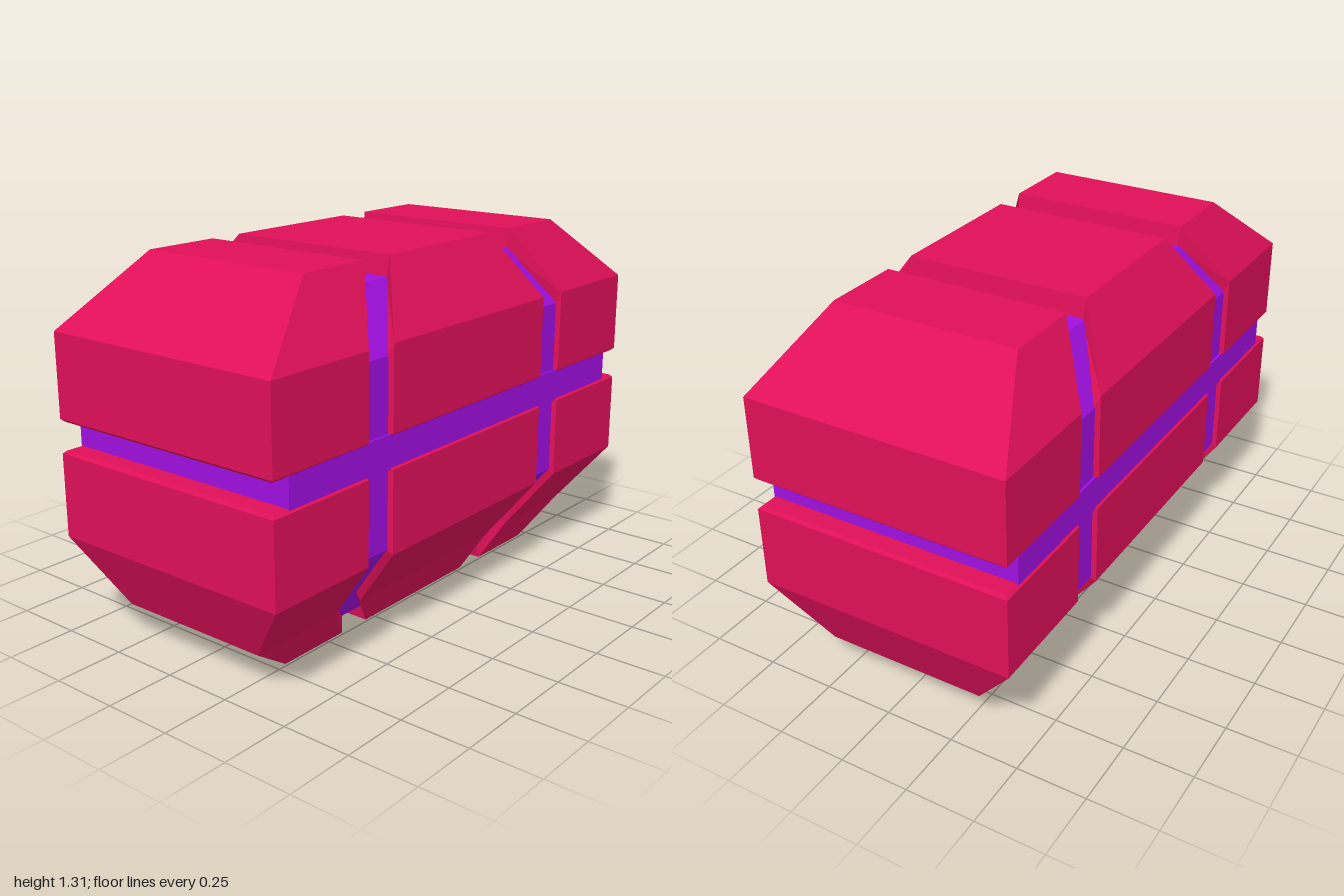
import * as THREE from 'three';

const red = new THREE.MeshStandardMaterial({ color: 0xe01058, flatShading: true });
const purple = new THREE.MeshStandardMaterial({ color: 0xa010e0, flatShading: true });

// Half profiles, bottom to top: [y, half depth, centre edge x, side inner x, side outer x]
const UPPER = [
  [0.765, 0.463, 0.44, 0.565, 0.99],
  [0.775, 0.475, 0.44, 0.565, 1],
  [1.07, 0.475, 0.44, 0.565, 1],
  [1.31, 0.335, 0.285, 0.415, 0.7],
];
const LOWER = [
  [0, 0.24, 0.29, 0.42, 0.71],
  [0.125, 0.295, 0.385, 0.515, 0.895],
  [0.36, 0.475, 0.44, 0.565, 1],
  [0.655, 0.475, 0.44, 0.565, 1],
  [0.665, 0.463, 0.44, 0.565, 0.99],
];
// Feet of the groove walls, just inside the core: [y, half depth]
const UPPER_INSET = [[0.765, 0.455], [0.775, 0.455], [1.03, 0.455], [1.235, 0.33]];
const LOWER_INSET = [[0.065, 0.23], [0.165, 0.28], [0.38, 0.455], [0.655, 0.455], [0.665, 0.455]];
const CORE = [[0.06, 0.235], [0.16, 0.285], [0.38, 0.46], [1.03, 0.46], [1.24, 0.335]];

// Half section of [x, y, half depth] points
const section = (rows, x) => rows.map((r, i) => [x(i), r[0], r[1]]);

// Joins sections running from -x to +x; each is mirrored front to back and both ends are capped
function loft(sections) {
  const pos = [];
  const quad = (a, b, c, d) => pos.push(...a, ...b, ...c, ...a, ...c, ...d);
  const back = ([x, y, z]) => [x, y, -z];
  const loops = sections.map((s) => [...s.map(back), ...[...s].reverse()]);
  for (let k = 0; k < loops.length - 1; k++) {
    const a = loops[k], b = loops[k + 1], n = a.length;
    for (let i = 0; i < n; i++) {
      const j = (i + 1) % n;
      quad(a[i], a[j], b[j], b[i]);
    }
  }
  const first = sections[0], last = sections[sections.length - 1];
  for (let i = 0; i < first.length - 1; i++) {
    quad(back(last[i]), back(last[i + 1]), last[i + 1], last[i]);
    quad(first[i], first[i + 1], back(first[i + 1]), back(first[i]));
  }
  const g = new THREE.BufferGeometry();
  g.setAttribute('position', new THREE.Float32BufferAttribute(pos, 3));
  g.computeVertexNormals();
  return g;
}

// Mirrors a list of sections across x = 0
const mirrored = (sections) => [...sections].reverse().map((s) => s.map(([x, y, z]) => [-x, y, z]));

export function createModel() {
  const model = new THREE.Group();
  model.name = 'segmentedBlock';
  const add = (name, geometry, material) => {
    const mesh = new THREE.Mesh(geometry, material);
    mesh.name = name;
    model.add(mesh);
    return mesh;
  };

  // Inner core, seen at the bottom of the two upright grooves
  add('core', loft([section(CORE, () => -0.58), section(CORE, () => 0.58)]), purple);

  // Belt, seen at the bottom of the level groove
  add('belt', new THREE.BoxGeometry(1.85, 0.12, 0.936), purple).position.y = 0.715;

  // Armour: a centre block and two side blocks, above and below the belt
  const tiers = [['upper', UPPER, UPPER_INSET], ['lower', LOWER, LOWER_INSET]];
  for (const [tier, rows, inset] of tiers) {
    const centreHalf = [
      section(rows, (i) => rows[i][2]),
      section(inset, (i) => rows[i][2] + 0.012),
    ];
    add(`${tier}CentreBlock`, loft([...mirrored(centreHalf), ...centreHalf]), red);

    const side = [
      section(inset, (i) => rows[i][3] - 0.012),
      section(rows, (i) => rows[i][3]),
      section(rows, (i) => rows[i][4]),
    ];
    add(`${tier}LeftBlock`, loft(side), red);
    add(`${tier}RightBlock`, loft(mirrored(side)), red);
  }
  return model;
}
